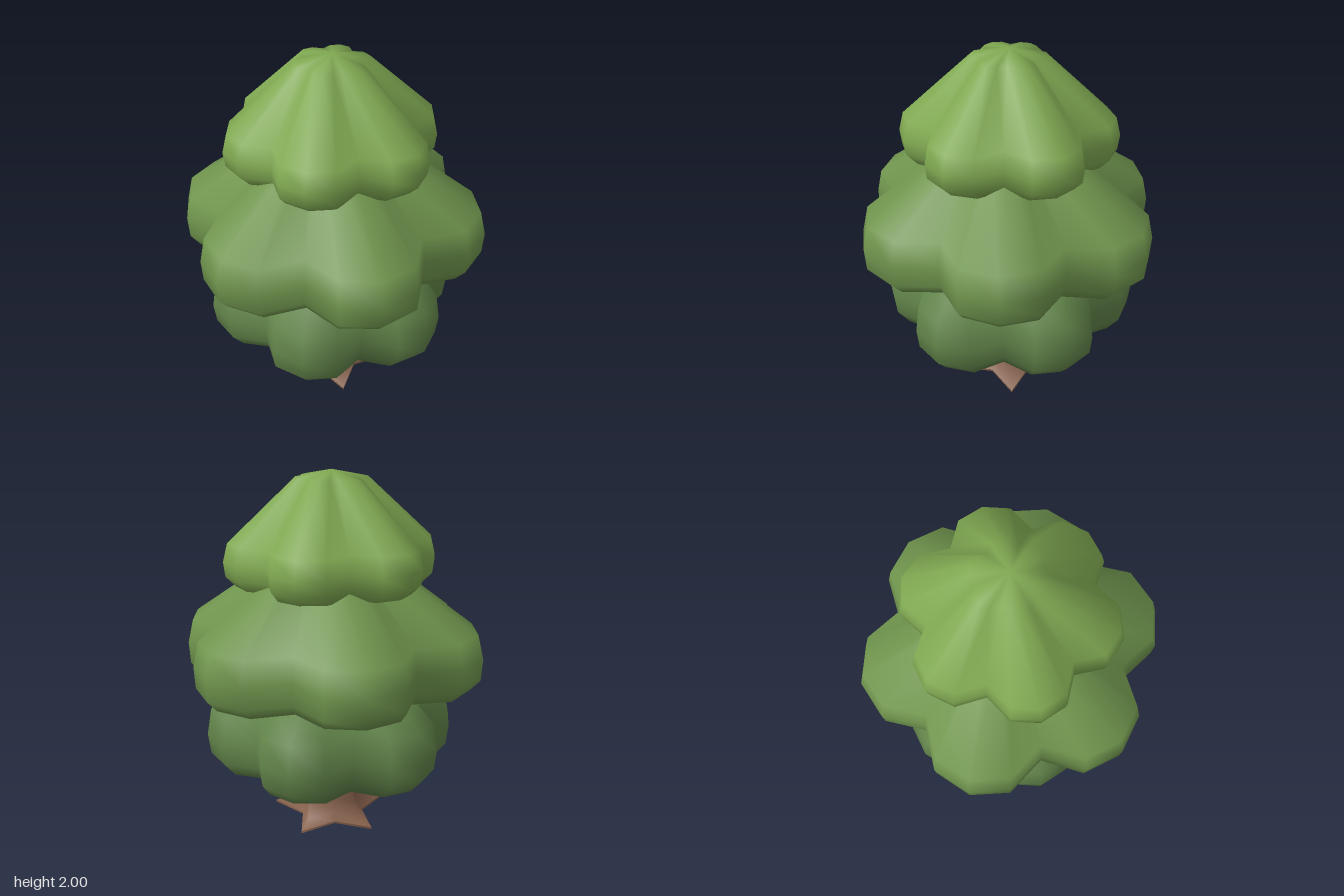
import * as THREE from 'three';

// Skin of revolution whose radius swells into lobes.
// rows: [radius at lobe tip, y, radius factor in the valley], from top to bottom
// bulge: 0 in the valley to 1 at the tip, over one lobe
function lobed(name, color, rows, lobes, bulge, start) {
  const n = lobes * bulge.length, pos = [], index = [];
  rows.forEach(([r, y, valley]) => {
    for (let j = 0; j < n; j++) {
      const a = start + (j / n) * Math.PI * 2;
      const k = r * (valley + (1 - valley) * bulge[j % bulge.length]);
      pos.push(k * Math.cos(a), y, k * Math.sin(a));
    }
  });
  for (let i = 0; i < rows.length - 1; i++) {
    for (let j = 0; j < n; j++) {
      const a = i * n + j, b = i * n + (j + 1) % n;
      if (rows[i][0] > 0) index.push(a, b, a + n);
      if (rows[i + 1][0] > 0) index.push(b, b + n, a + n);
    }
  }
  const geo = new THREE.BufferGeometry();
  geo.setAttribute('position', new THREE.Float32BufferAttribute(pos, 3));
  geo.setIndex(index);
  geo.computeVertexNormals();
  // the poles point straight up and down
  for (let j = 0; j < n; j++) {
    if (rows[0][0] === 0) geo.attributes.normal.setXYZ(j, 0, 1, 0);
    geo.attributes.normal.setXYZ((rows.length - 1) * n + j, 0, -1, 0);
  }
  const mesh = new THREE.Mesh(geo, new THREE.MeshStandardMaterial({ color }));
  mesh.name = name;
  return mesh;
}

export function createModel() {
  const tree = new THREE.Group();
  tree.name = 'tree';
  const leaf = [0, 0.79, 1, 0.79];
  const v = 0.765;
  const valleyAtX = 0, lobeAtX = Math.PI / 6;

  // Top tier of foliage
  tree.add(lobed('topFoliage', 0x7fa851, [
    [0, 2, v], [0.2, 1.96, v], [0.56, 1.63, v], [0.585, 1.53, v],
    [0.575, 1.45, v], [0.52, 1.395, v], [0.38, 1.37, v], [0, 1.36, v],
  ], 6, leaf, valleyAtX));

  // Middle tier, turned by half a lobe
  tree.add(lobed('middleFoliage', 0x6f944d, [
    [0, 1.57, v], [0.28, 1.54, v], [0.815, 1.165, v], [0.848, 1.03, v],
    [0.84, 0.91, v], [0.785, 0.85, v], [0.53, 0.82, v], [0, 0.81, v],
  ], 6, leaf, lobeAtX));

  // Bottom tier
  tree.add(lobed('bottomFoliage', 0x618349, [
    [0, 0.92, v], [0.3, 0.91, v], [0.55, 0.815, v], [0.685, 0.7, v], [0.71, 0.55, v],
    [0.695, 0.435, v], [0.63, 0.36, v], [0.36, 0.325, v], [0, 0.315, v],
  ], 6, leaf, valleyAtX));

  // Trunk flaring into five pointed roots; repeated rows keep edges sharp
  tree.add(lobed('trunk', 0x85604b, [
    [0, 0.42, 0.7], [0.17, 0.42, 0.7], [0.17, 0.42, 0.7], [0.178, 0.25, 0.7],
    [0.2, 0.125, 0.66], [0.25, 0.055, 0.6], [0.34, 0.012, 0.54],
    [0.34, 0.012, 0.54], [0.34, 0, 0.54], [0.34, 0, 0.54], [0, 0, 0.54],
  ], 5, [0, 1], Math.PI / 2));

  return tree;
}
